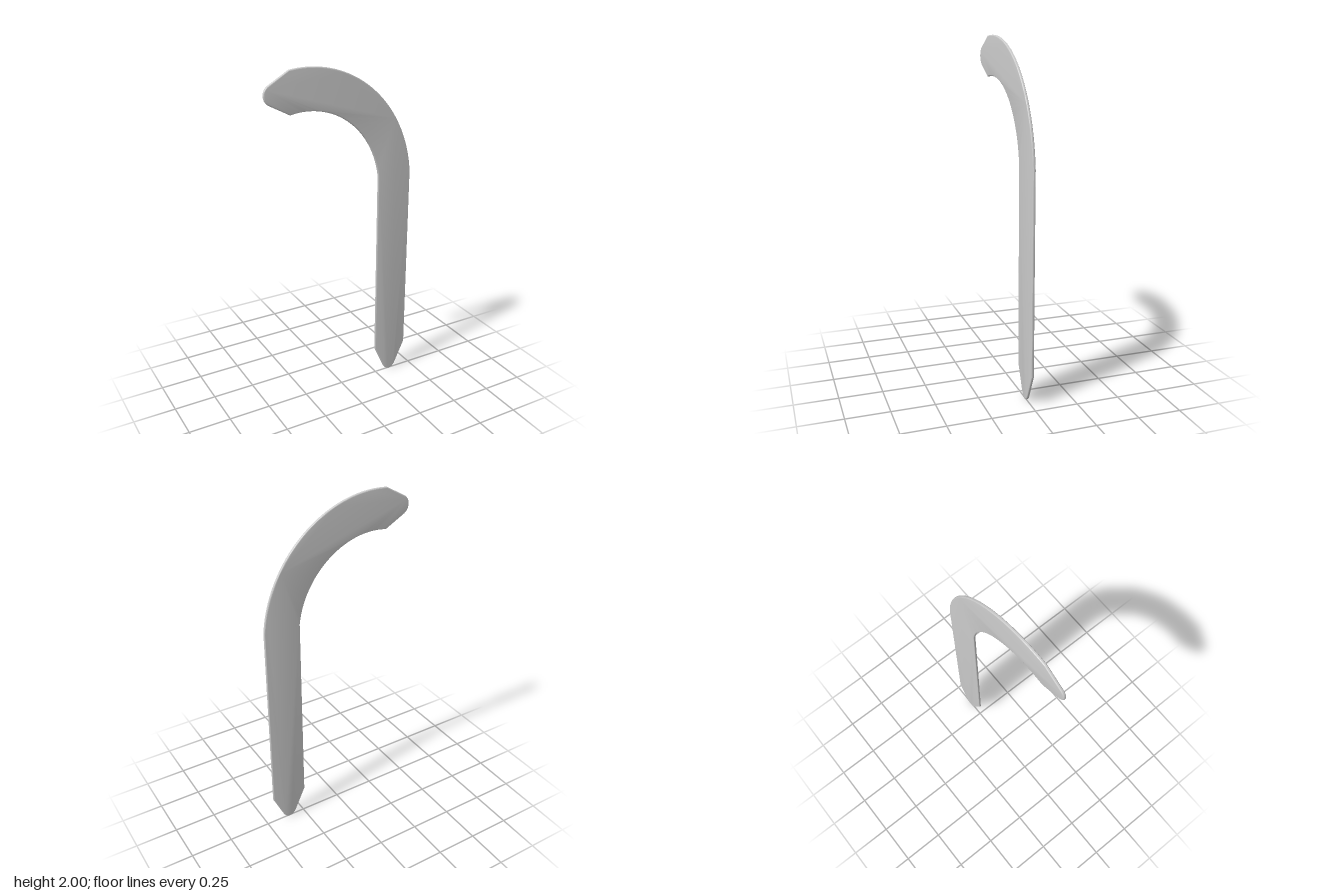
import * as THREE from 'three';
import { toCreasedNormals } from 'three/addons/utils/BufferGeometryUtils.js';

const THICKNESS = 0.016, BEVEL = 0.006;

// Outline of the flat hooked bar: straight shank, elliptical bend, two rounded tips
function hookOutline() {
  const cx = -0.225, cy = 1.26;              // centre of the bend
  const outer = [0.683, 0.74], inner = [0.468, 0.507];
  const joinY = 1.33, endX = -0.31;          // where the bend meets shank and upper tip
  const arc = ([rx, ry], reverse) => {
    const a0 = Math.asin((joinY - cy) / ry);
    const a1 = Math.acos((endX - cx) / rx);
    const pts = new THREE.EllipseCurve(cx, cy, rx, ry, a0, a1, false).getPoints(40);
    return reverse ? pts.reverse() : pts;
  };

  const s = new THREE.Shape();
  // lower tip
  s.moveTo(0.24, 0.175);
  s.lineTo(0.304, 0.035);
  s.bezierCurveTo(0.325, -0.0115, 0.37, -0.0115, 0.391, 0.035);
  s.lineTo(0.455, 0.175);
  // shank and outer bend
  for (const p of arc(outer, false)) s.lineTo(p.x, p.y);
  // upper tip
  s.lineTo(-0.43, 1.925);
  s.bezierCurveTo(-0.466, 1.9, -0.466, 1.85, -0.43, 1.824);
  // inner bend
  for (const p of arc(inner, true)) s.lineTo(p.x, p.y);
  s.closePath();
  return s;
}

export function createModel() {
  const group = new THREE.Group();
  group.name = 'hookedBar';

  // Thin plate with softly rounded edges
  const depth = THICKNESS - 2 * BEVEL;
  const geometry = new THREE.ExtrudeGeometry(hookOutline(), {
    depth, curveSegments: 16, bevelEnabled: true, bevelSegments: 4,
    bevelSize: BEVEL, bevelThickness: BEVEL, bevelOffset: -BEVEL,
  });
  geometry.translate(0, 0, -depth / 2);

  const bar = new THREE.Mesh(
    toCreasedNormals(geometry, Math.PI / 7),
    new THREE.MeshStandardMaterial({ color: 0xcccccc }),
  );
  bar.name = 'bar';
  group.add(bar);
  return group;
}
